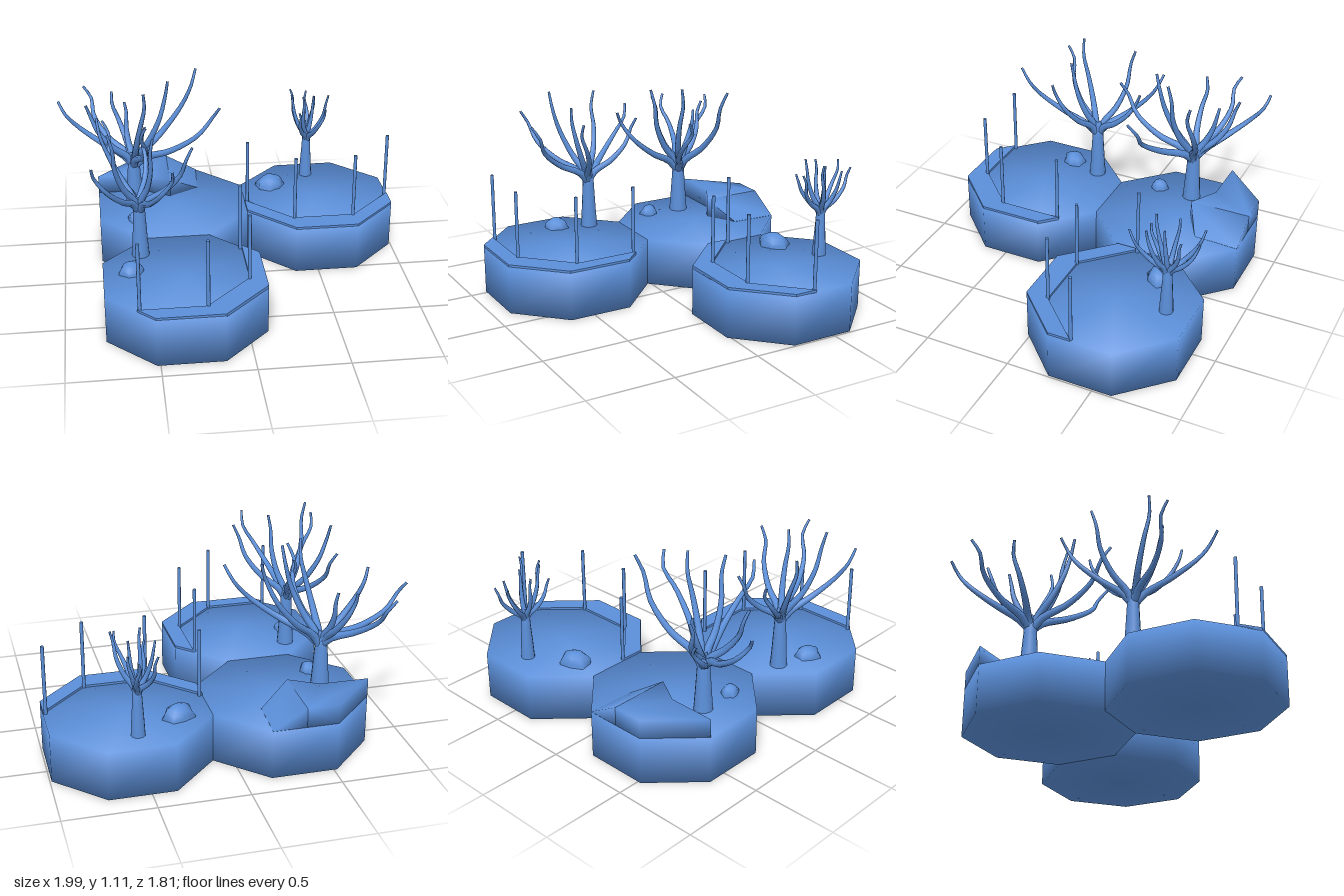
import * as THREE from 'three';
import { mergeVertices } from 'three/addons/utils/BufferGeometryUtils.js';

const material = new THREE.MeshStandardMaterial({ color: 0x5b8fd9 });
const HALF = 0.4425, SIDE = 0.183, TOP = 0.28;

function add(parent, name, geometry, x = 0, y = 0, z = 0) {
  const mesh = new THREE.Mesh(geometry, material);
  mesh.name = name;
  mesh.position.set(x, y, z);
  parent.add(mesh);
  return mesh;
}

// Shares vertices so the shading runs smoothly over the edges
function soften(geometry) {
  geometry.deleteAttribute('uv');
  geometry.deleteAttribute('normal');
  const merged = mergeVertices(geometry, 1e-4);
  merged.computeVertexNormals();
  return merged;
}

// Upright prism from [x, z] corners
function prism(points, height) {
  const shape = new THREE.Shape(points.map(([x, z]) => new THREE.Vector2(x, -z)));
  return new THREE.ExtrudeGeometry(shape, { depth: height, bevelEnabled: false }).rotateX(-Math.PI / 2);
}

// Tube that thins towards its tip
function taperedTube(points, r0, r1, sides = 7, rings = 14) {
  const curve = new THREE.CatmullRomCurve3(points);
  const geometry = new THREE.TubeGeometry(curve, rings, 1, sides);
  const pos = geometry.attributes.position, v = new THREE.Vector3();
  for (let i = 0; i < pos.count; i++) {
    const t = Math.floor(i / (sides + 1)) / rings;
    const centre = curve.getPointAt(t);
    v.fromBufferAttribute(pos, i).sub(centre).multiplyScalar(r0 + (r1 - r0) * t).add(centre);
    pos.setXYZ(i, v.x, v.y, v.z);
  }
  return geometry;
}

// Octagonal planter block
function planter(root, name, x, z) {
  const group = new THREE.Group();
  group.name = name;
  group.position.set(x, 0, z);
  root.add(group);
  const r = HALF / Math.cos(Math.PI / 8);
  add(group, 'block', soften(new THREE.CylinderGeometry(r, r, TOP, 8, 1, false, Math.PI / 8)), 0, TOP / 2, 0);
  return group;
}

// Kerb along three sides, with posts on its inner corners
function railing(group, angle) {
  const rail = new THREE.Group();
  rail.name = 'railing';
  rail.rotation.y = angle;
  group.add(rail);
  const outer = [[-HALF, SIDE], [-SIDE, HALF], [SIDE, HALF], [HALF, SIDE]];
  const inner = outer.map(([x, z]) => [x, z - 0.13]);
  add(rail, 'kerb', prism([...outer, ...inner.reverse()], 0.018), 0, 0.275, 0);
  for (const [x, z] of inner) {
    add(rail, 'post', new THREE.CylinderGeometry(0.01, 0.01, 0.4, 8), x * 0.965, 0.48, z + 0.003);
  }
}

// Irregular flattened boulder
function rock(root, x, z, w, h, d, turn) {
  const geometry = new THREE.SphereGeometry(1, 7, 6, 0, Math.PI * 2, 0, Math.PI / 2);
  const pos = geometry.attributes.position;
  for (let i = 0; i < pos.count; i++) {
    const a = Math.atan2(pos.getZ(i), pos.getX(i)), y = pos.getY(i);
    const k = 0.9 + 0.12 * Math.sin(a * 2 + 1) + 0.09 * Math.cos(a * 3 + y * 5);
    pos.setXYZ(i, pos.getX(i) * k, y + 0.06 * Math.sin(a * 3) * (1 - y), pos.getZ(i) * k);
  }
  geometry.scale(w / 2, h, d / 2);
  add(root, 'rock', soften(geometry), x, TOP - 0.004, z).rotation.y = turn;
}

// Bare tree: flared trunk and branches that sweep out, then up to their tips
function tree(root, name, x, z, fork, radius, tips) {
  const group = new THREE.Group();
  group.name = name;
  root.add(group);
  const profile = [[1, TOP - 0.01], [0.85, TOP + 0.1], [0.68, fork - 0.06], [0.62, fork], [0.3, fork + 0.05]]
    .map(([r, y]) => new THREE.Vector2(r * radius, y));
  add(group, 'trunk', new THREE.LatheGeometry(profile, 12), x, 0, z);
  tips.forEach(([tx, ty, tz], i) => {
    const dx = tx - x, dz = tz - z, h = ty - fork;
    const bend = 0.05 * (i % 2 ? 1 : -1);
    const at = (out, up, side) => new THREE.Vector3(
      x + dx * out - dz * side, fork + h * up, z + dz * out + dx * side);
    const path = [at(0, -0.12, 0), at(0.14, 0.06, 0), at(0.45, 0.25, bend),
      at(0.76, 0.54, bend * 0.6), at(0.9, 0.8, -bend), at(1, 1, 0)];
    add(group, 'branch', taperedTube(path, radius * 0.46, radius * 0.14));
  });
}

export function createModel() {
  const root = new THREE.Group();
  root.name = 'planterGarden';

  // Planters
  planter(root, 'backPlanter', -0.335, -0.425);
  railing(planter(root, 'sidePlanter', 0.548, -0.425), 0);
  railing(planter(root, 'frontPlanter', -0.335, 0.46), Math.PI / 4);

  // Raised terrace with a ramp on the back planter
  const terrace = new THREE.Group();
  terrace.name = 'terrace';
  root.add(terrace);
  add(terrace, 'terraceBlock', soften(prism(
    [[-0.7775, -0.608], [-0.5, -0.605], [-0.34, -0.51], [-0.34, -0.8675], [-0.518, -0.8675]], 0.11)), 0, TOP, 0);
  const ramp = prism([[-0.34, -0.51], [-0.165, -0.605], [-0.152, -0.8675], [-0.34, -0.8675]], 0.11);
  const pos = ramp.attributes.position;
  for (let i = 0; i < pos.count; i++) {
    if (pos.getX(i) > -0.2) pos.setY(i, Math.min(pos.getY(i), 0.002));
  }
  add(terrace, 'ramp', soften(ramp), 0, TOP, 0);

  // Rocks
  rock(root, 0.29, -0.58, 0.19, 0.08, 0.18, 0.6);
  rock(root, -0.62, 0.39, 0.15, 0.065, 0.16, 1.3);
  rock(root, -0.565, -0.22, 0.11, 0.06, 0.12, 2.2);

  // Trees, each with its branch tips
  tree(root, 'backTree', -0.56, -0.43, 0.58, 0.055, [
    [-0.84, 0.92, -0.79], [-0.99, 0.92, -0.56], [-0.83, 0.96, -0.39], [-0.67, 0.93, -0.66],
    [-0.17, 1.1, -0.54], [-0.06, 0.98, -0.21], [-0.5, 0.98, 0.03], [-0.35, 1.11, -0.33],
    [-0.6, 0.9, -0.56], [-0.5, 1.09, -0.2]]);
  tree(root, 'frontTree', -0.56, 0.2, 0.6, 0.05, [
    [-0.74, 0.96, -0.15], [-0.77, 1.06, 0.05], [-0.27, 1.0, 0.36], [-0.4, 0.99, 0.63],
    [-0.81, 0.98, 0.52], [-0.72, 1.1, 0.37], [-0.48, 1.05, 0.34], [-0.5, 0.93, -0.1]]);
  tree(root, 'smallTree', 0.54, -0.72, 0.54, 0.04, [
    [0.46, 0.8, -0.89], [0.565, 0.78, -0.9], [0.445, 0.82, -0.74], [0.5, 0.85, -0.63],
    [0.66, 0.85, -0.64], [0.62, 0.8, -0.53], [0.6, 0.78, -0.81], [0.47, 0.76, -0.59],
    [0.58, 0.82, -0.71]]);

  return root;
}
